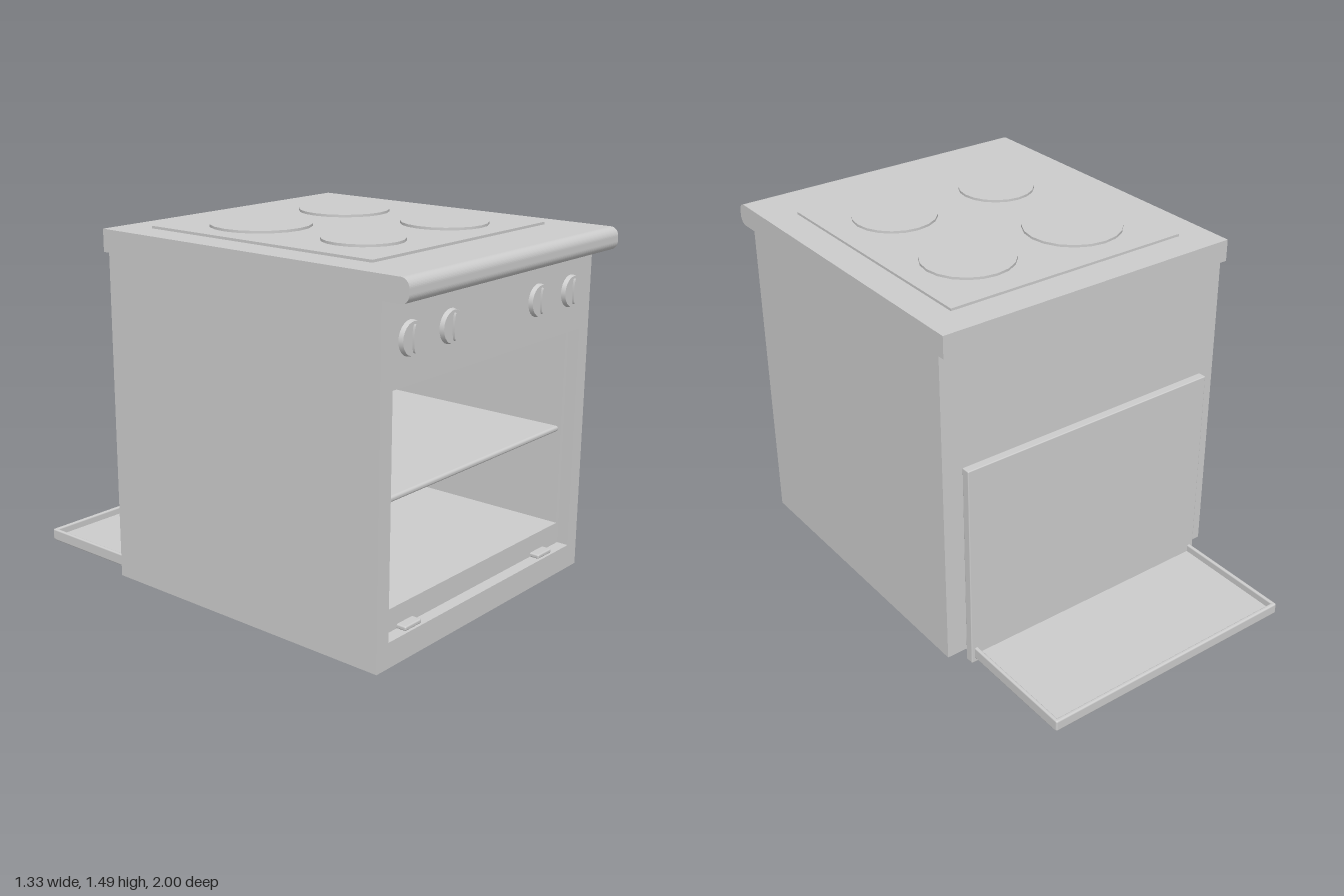
import * as THREE from 'three';
import { RoundedBoxGeometry } from 'three/addons/geometries/RoundedBoxGeometry.js';

const material = new THREE.MeshStandardMaterial({ color: 0xcccccc });

function add(parent, name, geometry, x = 0, y = 0, z = 0) {
  const mesh = new THREE.Mesh(geometry, material);
  mesh.name = name;
  mesh.position.set(x, y, z);
  parent.add(mesh);
  return mesh;
}

// Box given by its limits on each axis
function block(parent, name, [x0, x1], [y0, y1], [z0, z1], radius = 0) {
  const w = x1 - x0, h = y1 - y0, d = z1 - z0;
  const geometry = radius ? new RoundedBoxGeometry(w, h, d, 3, radius) : new THREE.BoxGeometry(w, h, d);
  return add(parent, name, geometry, (x0 + x1) / 2, (y0 + y1) / 2, (z0 + z1) / 2);
}

function rectangle(Type, x, y0, y1) {
  return new Type([[-x, y0], [x, y0], [x, y1], [-x, y1]].map(p => new THREE.Vector2(...p)));
}

// Slice of the cabinet with a rectangular opening, from z0 to z1
function frame(parent, name, x, y0, y1, z0, z1) {
  const shape = rectangle(THREE.Shape, 0.665, 0.04, 1.375);
  shape.holes.push(rectangle(THREE.Path, x, y0, y1));
  add(parent, name, new THREE.ExtrudeGeometry(shape, { depth: z1 - z0, bevelEnabled: false }), 0, 0, z0);
}

export function createModel() {
  const stove = new THREE.Group();
  stove.name = 'stove';

  // Cabinet: door recess, oven cavity, back panel
  const cabinet = new THREE.Group();
  cabinet.name = 'cabinet';
  stove.add(cabinet);
  frame(cabinet, 'doorRecess', 0.6, 0.14, 1.06, 0.84, 0.89);
  frame(cabinet, 'ovenCavity', 0.585, 0.23, 1.045, -0.38, 0.84);
  block(cabinet, 'backPanel', [-0.665, 0.665], [0.04, 1.375], [-0.44, -0.38]);
  block(cabinet, 'ovenShelf', [-0.585, 0.585], [0.625, 0.648], [-0.38, 0.83], 0.01);
  for (const side of [-1, 1]) {
    block(cabinet, 'hingeTab', [side * 0.44 - 0.048, side * 0.44 + 0.048], [0.139, 0.157], [0.83, 0.88], 0.006);
  }

  // Worktop with a rounded front edge, drawn in (z, y) and swept along x
  const r = 0.035;
  const profile = new THREE.Shape();
  profile.moveTo(-0.47, 1.375);
  profile.lineTo(1 - r, 1.375);
  profile.absarc(1 - r, 1.375 + r, r, -Math.PI / 2, 0);
  profile.absarc(1 - r, 1.465 - r, r, 0, Math.PI / 2);
  profile.lineTo(-0.47, 1.465);
  const worktop = new THREE.ExtrudeGeometry(profile, { depth: 1.33, bevelEnabled: false, curveSegments: 6 });
  worktop.rotateY(-Math.PI / 2);
  add(stove, 'worktop', worktop, 0.665);

  // Hob plate and four burners
  block(stove, 'hobPlate', [-0.537, 0.537], [1.46, 1.475], [-0.333, 0.747]);
  for (const [x, z, radius] of [[-0.25, -0.03, 0.2], [0.25, -0.03, 0.186], [-0.25, 0.475, 0.157], [0.25, 0.475, 0.172]]) {
    add(stove, 'burner', new THREE.CylinderGeometry(radius, radius, 0.015, 20), x, 1.4775, z);
  }

  // Control knobs with a slim grip
  for (const x of [-0.51, -0.28, 0.28, 0.51]) {
    const knob = new THREE.Group();
    knob.name = 'knob';
    knob.position.set(x, 1.225, 0.89);
    add(knob, 'knobDisc', new THREE.CylinderGeometry(0.06, 0.064, 0.017, 24).rotateX(Math.PI / 2), 0, 0, 0.0085);
    add(knob, 'knobGrip', new THREE.CylinderGeometry(0.05, 0.05, 0.012, 20).rotateX(Math.PI / 2), 0, 0, 0.02).scale.x = 0.2;
    stove.add(knob);
  }

  // Feet
  for (const x of [-0.567, 0.567]) {
    for (const z of [-0.34, 0.79]) {
      add(stove, 'foot', new THREE.CylinderGeometry(0.026, 0.026, 0.035, 16), x, 0.0275, z);
    }
  }

  // Upright panel behind the cabinet, held by small spacers
  block(stove, 'rearPanel', [-0.585, 0.585], [0, 0.895], [-0.487, -0.45], 0.004);
  for (const x of [-0.56, 0.56]) block(stove, 'spacer', [x - 0.015, x + 0.015], [0.8, 0.84], [-0.455, -0.435]);

  // Shallow tray passing below the cabinet and out at the back
  const tray = new THREE.Group();
  tray.name = 'tray';
  stove.add(tray);
  block(tray, 'trayFloor', [-0.57, 0.57], [0.02, 0.039], [-0.99, -0.03], 0.006);
  block(tray, 'trayEndRim', [-0.57, 0.57], [0.022, 0.07], [-1, -0.982], 0.007);
  for (const side of [-1, 1]) {
    block(tray, 'traySideRim', [side * 0.562 - 0.008, side * 0.562 + 0.008], [0.022, 0.07], [-0.998, -0.46], 0.006);
  }
  return stove;
}
